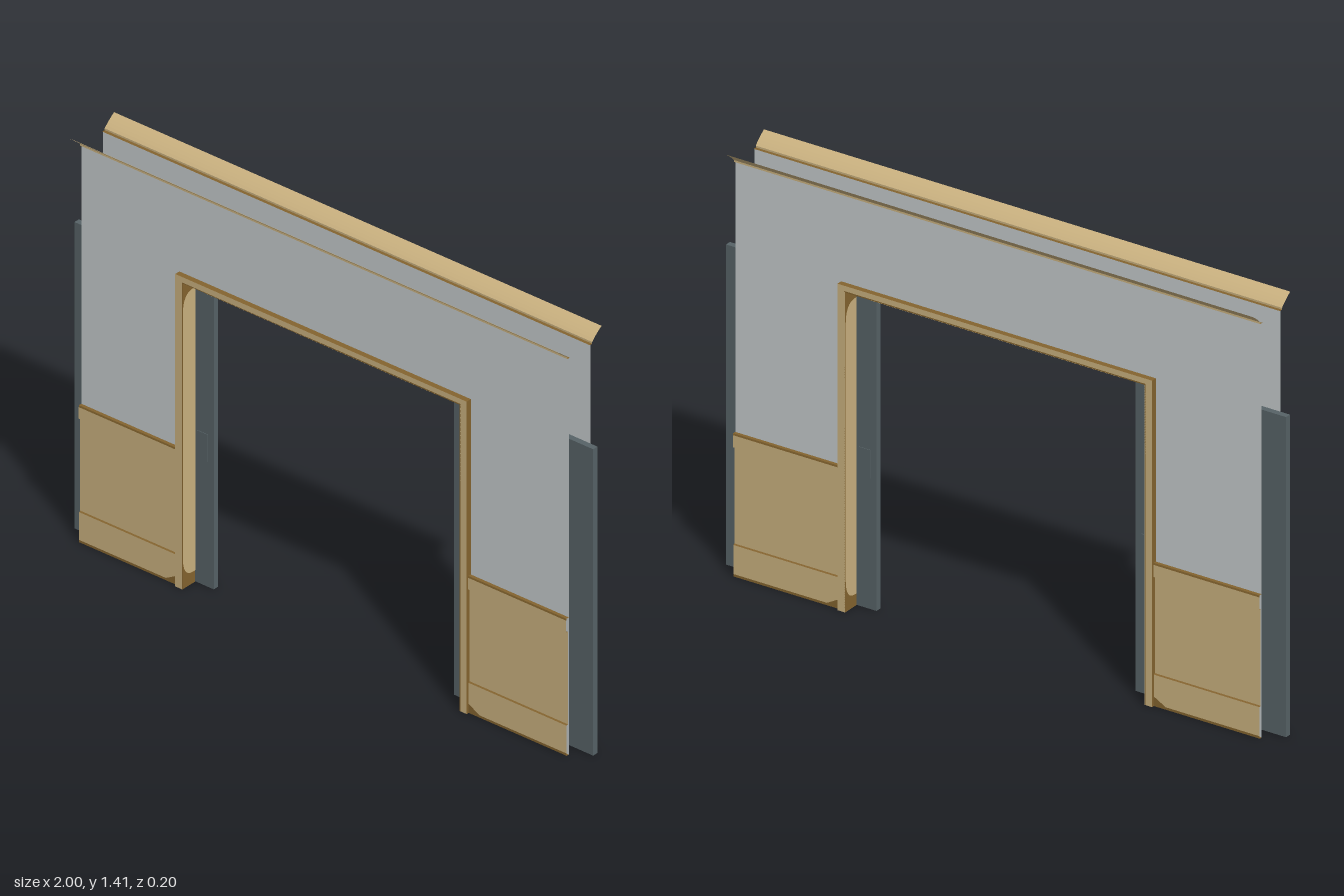
import * as THREE from 'three';

const mat = (name, color, side = THREE.FrontSide) => {
  const m = new THREE.MeshStandardMaterial({ color, side });
  m.name = name;
  return m;
};

// Sheet made by sweeping a [z, y] profile along x, open at the ends
function sweep(profile, x0, x1) {
  const pos = [], idx = [];
  profile.forEach(([z, y]) => pos.push(x0, y, z, x1, y, z));
  for (let i = 0; i < profile.length - 1; i++) {
    const a = i * 2;
    idx.push(a, a + 1, a + 3, a, a + 3, a + 2);
  }
  const g = new THREE.BufferGeometry();
  g.setAttribute('position', new THREE.Float32BufferAttribute(pos, 3));
  g.setIndex(idx);
  const flat = g.toNonIndexed();
  flat.computeVertexNormals();
  return flat;
}

const polygon = (points) => new THREE.Shape(points.map(([x, y]) => new THREE.Vector2(x, y)));

// Upside-down U outline around the doorway
const archShape = (outerX, outerY, innerX, innerY) => polygon([
  [-outerX, 0], [-innerX, 0], [-innerX, innerY], [innerX, innerY],
  [innerX, 0], [outerX, 0], [outerX, outerY], [-outerX, outerY],
]);

// Long light patch with rounded ends, standing in the y-z plane
function patch(length, halfDepth) {
  const h = length / 2, r = 0.07, d = halfDepth;
  const s = new THREE.Shape();
  s.moveTo(-d, -h + r);
  s.quadraticCurveTo(-d, -h, -d * 0.3, -h);
  s.lineTo(d * 0.3, -h);
  s.quadraticCurveTo(d, -h, d, -h + r);
  s.lineTo(d, h - r);
  s.quadraticCurveTo(d, h, d * 0.3, h);
  s.lineTo(-d * 0.3, h);
  s.quadraticCurveTo(-d, h, -d, h - r);
  return new THREE.ShapeGeometry(s, 8).rotateY(Math.PI / 2);
}

export function createModel() {
  const model = new THREE.Group();
  const wood = mat('wood', 0xcbb280, THREE.DoubleSide);
  const darkWood = mat('dark wood', 0x84642f, THREE.DoubleSide);
  const plaster = mat('wall grey', 0xc5cbcc, THREE.DoubleSide);
  const metal = mat('door slate', 0x576367);

  const add = (parent, name, geometry, material, x = 0, y = 0, z = 0) => {
    const m = new THREE.Mesh(geometry, material);
    m.name = name;
    m.position.set(x, y, z);
    parent.add(m);
    return m;
  };

  // Crown profile: a nearly straight flare with a small upright lip
  const crown = [[0.057, 1.37], [0.057, 1.376]];
  for (let i = 1; i <= 5; i++) {
    const t = i / 5;
    crown.push([0.057 + 0.043 * (0.75 * t + 0.25 * t * t), 1.376 + 0.036 * t]);
  }

  // Panelling profiles: light faces and dark ledges
  const lightProfiles = {
    baseboard: [[0.06, 0.008], [0.06, 0.104]],
    panel: [[0.055, 0.107], [0.055, 0.426]],
    chairRail: [[0.062, 0.428], [0.062, 0.468]],
  };
  const darkProfiles = {
    baseboardFoot: [[0.05, 0], [0.06, 0], [0.06, 0.008]],
    baseboardLedge: [[0.06, 0.104], [0.055, 0.107]],
    railUnderside: [[0.055, 0.426], [0.062, 0.428]],
    railTop: [[0.062, 0.468], [0.061, 0.474], [0.05, 0.474]],
  };

  // Both wall faces: the back is the front turned half round
  for (const back of [false, true]) {
    const face = new THREE.Group();
    face.name = back ? 'backWall' : 'frontWall';
    face.rotation.y = back ? Math.PI : 0;
    model.add(face);

    add(face, 'wallPanel', new THREE.ShapeGeometry(archShape(0.94, 1.37, 0.55, 1.07)), plaster, 0, 0, 0.05);
    add(face, 'crownMoulding', sweep(crown, -0.94, 0.94), wood);
    add(face, 'crownUnderside', sweep([[0.046, 1.37], [0.057, 1.37]], -0.94, 0.94), darkWood);

    for (const [x0, x1] of [[-0.94, -0.56], [0.56, 0.94]]) {
      for (const [name, p] of Object.entries(lightProfiles)) add(face, name, sweep(p, x0, x1), wood);
      for (const [name, p] of Object.entries(darkProfiles)) add(face, name, sweep(p, x0, x1), darkWood);
      // Worn corner beside the casing
      const s = Math.sign(x0);
      const corner = polygon([[s * 0.56, 0.006], [s * 0.61, 0.006], [s * 0.56, 0.034]]);
      add(face, 'wornCorner', new THREE.ShapeGeometry(corner), darkWood, 0, 0, 0.0612);
    }

    // Casing around the doorway, dark on its edges
    const casing = new THREE.ExtrudeGeometry(archShape(0.562, 1.08, 0.5355, 1.061), { depth: 0.022, bevelEnabled: false });
    add(face, 'doorCasing', casing, [wood, darkWood], 0, 0, 0.047);
  }

  // Lining of the opening: dark boards with light patches inside and out
  add(model, 'headLining', new THREE.BoxGeometry(1.077, 0.004, 0.138), darkWood, 0, 1.0605, 0);
  for (const [y, depth] of [[1.0575, 0.068], [1.0635, 0.048]]) {
    add(model, 'headLiningPatch', patch(1.03, depth).rotateZ(Math.PI / 2), wood, 0, y, 0);
  }
  for (const s of [-1, 1]) {
    const name = s > 0 ? 'left' : 'right';
    add(model, name + 'SideLining', new THREE.BoxGeometry(0.004, 1.06, 0.138), darkWood, s * 0.5365, 0.53, 0);
    for (const [x, depth] of [[0.5335, 0.068], [0.5395, 0.046]]) {
      add(model, name + 'LiningPatch', patch(0.98, depth), wood, s * x, 0.53, 0);
    }

    // Sliding door leaf with a slim pull on each face
    const door = new THREE.Group();
    door.name = name + 'SlidingDoor';
    model.add(door);
    add(door, 'doorLeaf', new THREE.BoxGeometry(0.537, 1.059, 0.02), metal, s * 0.7315, 0.5305, 0);
    add(door, 'floorGuide', new THREE.BoxGeometry(0.16, 0.002, 0.016), plaster, s * 0.76, 0.001, 0);
    for (const f of [-1, 1]) {
      add(door, 'doorPull', new THREE.BoxGeometry(0.042, 0.095, 0.003), metal, s * 0.506, 0.48, f * 0.0105);
    }
  }

  return model;
}
